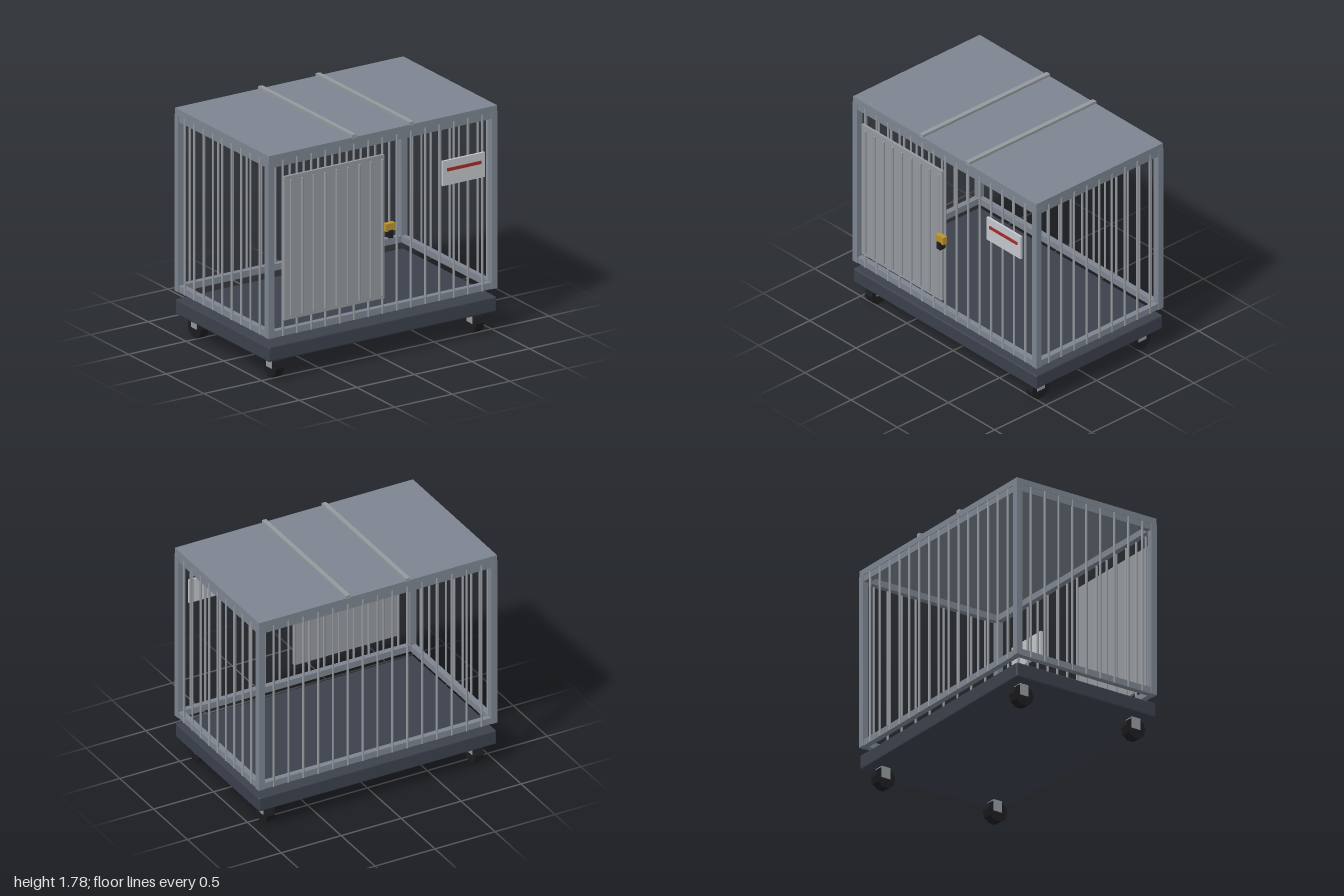
import * as THREE from 'three';
import { RoundedBoxGeometry } from 'three/addons/geometries/RoundedBoxGeometry.js';

const mat = (color) => new THREE.MeshStandardMaterial({ color, flatShading: true });
const FRAME = mat(0x7d8590), STEEL = mat(0x94989d), BASE = mat(0x3b404b), RUBBER = mat(0x1d1d20);
const SIGN = mat(0xc2c6ca), RED = mat(0xa32a26), BRASS = mat(0xb8922f);

const ZC = -0.037;              // cage centre in z
const HX = 0.995, HZ = 0.622;   // outer half sizes of the cage
const Y0 = 0.345, Y1 = 1.71;    // cage bottom and top
const T = 0.05;                 // frame tube thickness

export function createModel() {
  const model = new THREE.Group();

  const group = (name) => {
    const g = new THREE.Group();
    g.name = name;
    model.add(g);
    return g;
  };
  const add = (parent, name, geometry, material, x, y, z) => {
    const mesh = new THREE.Mesh(geometry, material);
    mesh.name = name;
    mesh.position.set(x, y, z);
    parent.add(mesh);
    return mesh;
  };
  // box given by its minimum and maximum on each axis
  const box = (parent, name, material, [x0, x1], [y0, y1], [z0, z1]) =>
    add(parent, name, new THREE.BoxGeometry(x1 - x0, y1 - y0, z1 - z0), material,
      (x0 + x1) / 2, (y0 + y1) / 2, (z0 + z1) / 2);
  const bar = (parent, name, x, z, y0, y1) =>
    add(parent, name, new THREE.CylinderGeometry(0.009, 0.009, y1 - y0, 8), STEEL, x, (y0 + y1) / 2, z);

  // rolling platform
  add(model, 'platform', new RoundedBoxGeometry(1.98, 0.117, 1.24, 2, 0.012), BASE, 0, 0.222, ZC);

  // four casters
  const casters = group('casters');
  const wheelGeo = new THREE.CylinderGeometry(0.085, 0.085, 0.07, 10).rotateZ(Math.PI / 2);
  for (const x of [-0.87, 0.87]) {
    for (const z of [ZC - 0.497, ZC + 0.497]) {
      add(casters, 'wheel', wheelGeo, RUBBER, x, 0.082, z);
      add(casters, 'wheelFork', new THREE.BoxGeometry(0.08, 0.094, 0.074), STEEL, x, 0.121, z);
    }
  }

  // corner posts and the bottom and top rails
  const frame = group('frame');
  for (const s of [-1, 1]) {
    for (const t of [-1, 1]) {
      add(frame, 'cornerPost', new THREE.BoxGeometry(T, Y1 - Y0, T), FRAME,
        s * (HX - T / 2), (Y0 + Y1) / 2, ZC + t * (HZ - T / 2));
    }
    for (const y of [Y0 + T / 2, Y1 - T / 2]) {
      add(frame, 'longRail', new THREE.BoxGeometry(2 * (HX - T), T, T - 0.005), FRAME,
        0, y, ZC + s * (HZ - T / 2 - 0.003));
      add(frame, 'sideRail', new THREE.BoxGeometry(T - 0.005, T, 2 * (HZ - T)), FRAME,
        s * (HX - T / 2 - 0.003), y, ZC);
    }
  }

  // cage bars on all four sides
  const bars = group('cageBars');
  for (const s of [-1, 1]) {
    for (let i = -7; i <= 7; i++) bar(bars, 'longSideBar', i * 0.1238, ZC + s * (HZ - 0.008), Y0, Y1);
    for (let i = -4; i <= 4; i++) bar(bars, 'shortSideBar', s * (HX - 0.008), ZC + i * 0.124, Y0, Y1);
  }

  // roof with two straps
  add(model, 'roof', new THREE.BoxGeometry(1.984, 0.048, 1.242), FRAME, 0, 1.734, ZC);
  for (const x of [-0.25, 0.25]) {
    add(model, 'roofStrap', new THREE.BoxGeometry(0.036, 0.03, 1.244), STEEL, x, 1.764, ZC);
  }

  // ribbed door
  const door = group('door');
  box(door, 'doorPanel', STEEL, [-0.872, -0.003], [0.473, 1.583], [0.587, 0.608]);
  for (let i = 0; i < 9; i++) bar(door, 'doorRib', -0.821 + i * 0.099, 0.618, 0.503, 1.553);

  // latch and lock
  const lock = group('lock');
  box(lock, 'latchBody', BRASS, [-0.019, 0.062], [1.0, 1.059], [0.615, 0.655]);
  box(lock, 'latchTab', RUBBER, [0.003, 0.04], [0.949, 1.008], [0.612, 0.664]);

  // label plate with a stripe
  const plate = group('labelPlate');
  box(plate, 'plate', SIGN, [0.495, 0.863], [1.242, 1.433], [0.603, 0.622]);
  box(plate, 'stripe', RED, [0.53, 0.829], [1.35, 1.374], [0.615, 0.628]);

  return model;
}
